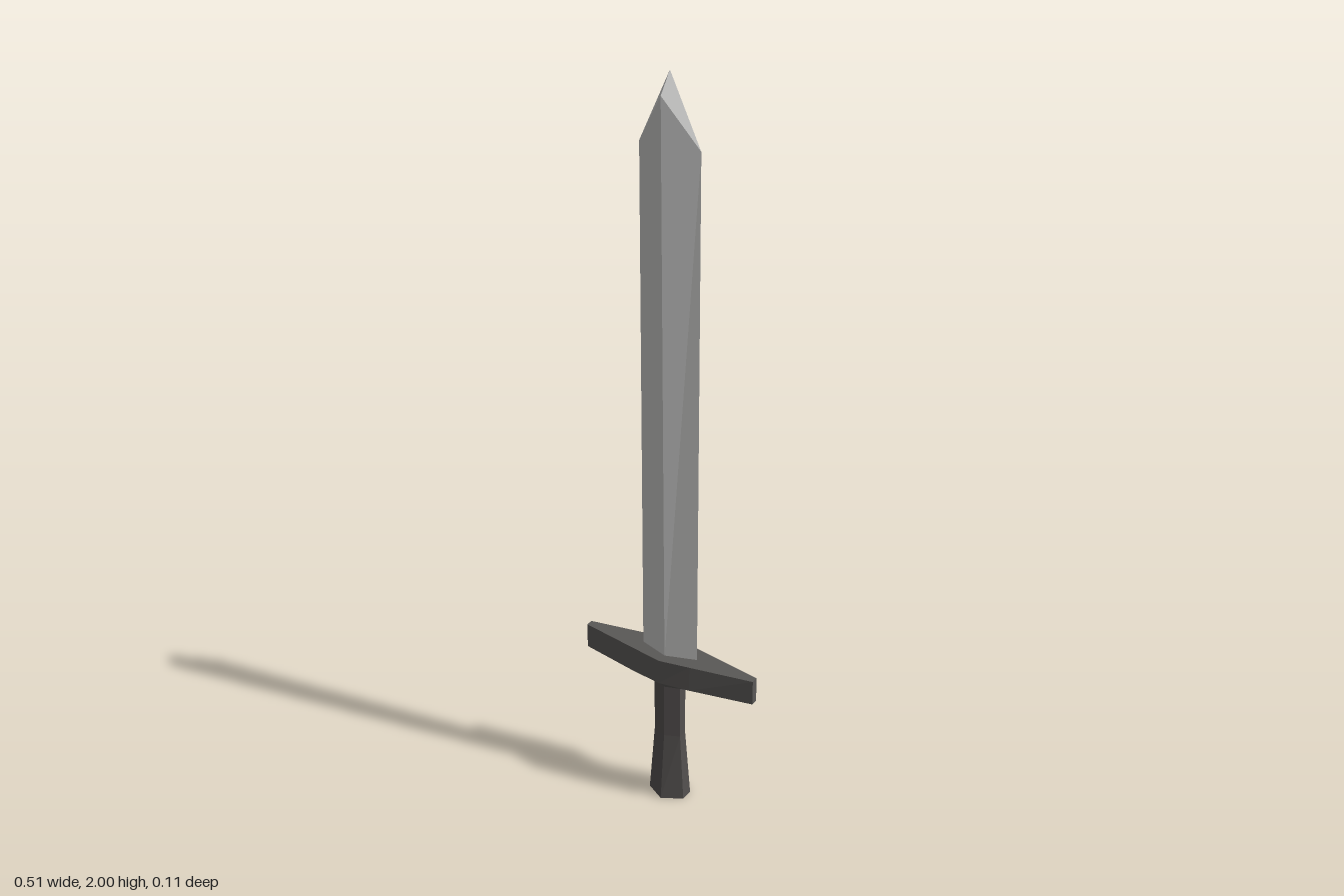
import * as THREE from 'three';

// Joins rings of [x, y, z] corners (counter-clockwise seen from above, listed bottom to top).
function loft(rings) {
  const pos = [];
  const tri = (a, b, c) => pos.push(...a, ...b, ...c);
  const n = rings[0].length;
  for (let r = 0; r < rings.length - 1; r++) {
    for (let i = 0; i < n; i++) {
      const j = (i + 1) % n;
      const [a, b, c, d] = [rings[r][i], rings[r][j], rings[r + 1][j], rings[r + 1][i]];
      tri(a, b, c);
      tri(a, c, d);
    }
  }
  const bottom = rings[0], top = rings[rings.length - 1];
  for (let i = 1; i < n - 1; i++) {
    tri(bottom[0], bottom[i + 1], bottom[i]);
    tri(top[0], top[i], top[i + 1]);
  }
  const geo = new THREE.BufferGeometry();
  geo.setAttribute('position', new THREE.Float32BufferAttribute(pos, 3));
  geo.computeVertexNormals();
  return geo;
}

// Stretched hexagon: ridges at front and back, narrow flats at the sides.
const hexRing = (y, x, zSide, zMid) => [
  [x, y, zSide], [x, y, -zSide], [0, y, -zMid],
  [-x, y, -zSide], [-x, y, zSide], [0, y, zMid],
];

// Guard outline with an extra corner halfway along each long side.
const guardRing = (y, zBulge) => [
  [0.256, y, 0.01], [0.256, y, -0.01], [0.085, y, -zBulge], [0, y, -0.056], [-0.085, y, -zBulge],
  [-0.256, y, -0.01], [-0.256, y, 0.01], [-0.085, y, zBulge], [0, y, 0.056], [0.085, y, zBulge],
];

export function createModel() {
  const group = new THREE.Group();
  const material = (name, color) => {
    const m = new THREE.MeshStandardMaterial({ color, flatShading: true });
    m.name = name;
    return m;
  };
  const steel = material('pale steel', 0xc3c3c2);
  const iron = material('dark iron', 0x5a5856);
  const leather = material('dark leather', 0x534f4e);

  const add = (name, geometry, mat) => {
    const mesh = new THREE.Mesh(geometry, mat);
    mesh.name = name;
    group.add(mesh);
  };

  // Diamond blade, thickening upward; the front ridge runs higher than the back one
  const tip = [0, 2, 0];
  add('blade', loft([
    [[0.083, 0.45, 0], [0, 0.45, -0.027], [-0.083, 0.45, 0], [0, 0.45, 0.027]],
    [[0.083, 1.825, 0], [0, 1.82, -0.039], [-0.083, 1.825, 0], [0, 1.95, 0.039]],
    [tip, tip, tip, tip],
  ]), steel);

  // Crossguard and the collar below it
  add('guard', loft([guardRing(0.385, 0.044), guardRing(0.455, 0.041)]), iron);
  add('collar', loft([hexRing(0.358, 0.04, 0.013, 0.03), hexRing(0.386, 0.085, 0.043, 0.055)]), iron);

  // Grip flaring toward the pommel end
  add('grip', loft([
    hexRing(0, 0.054, 0.018, 0.048),
    hexRing(0.2, 0.04, 0.013, 0.03),
    hexRing(0.36, 0.04, 0.013, 0.03),
  ]), leather);

  return group;
}
